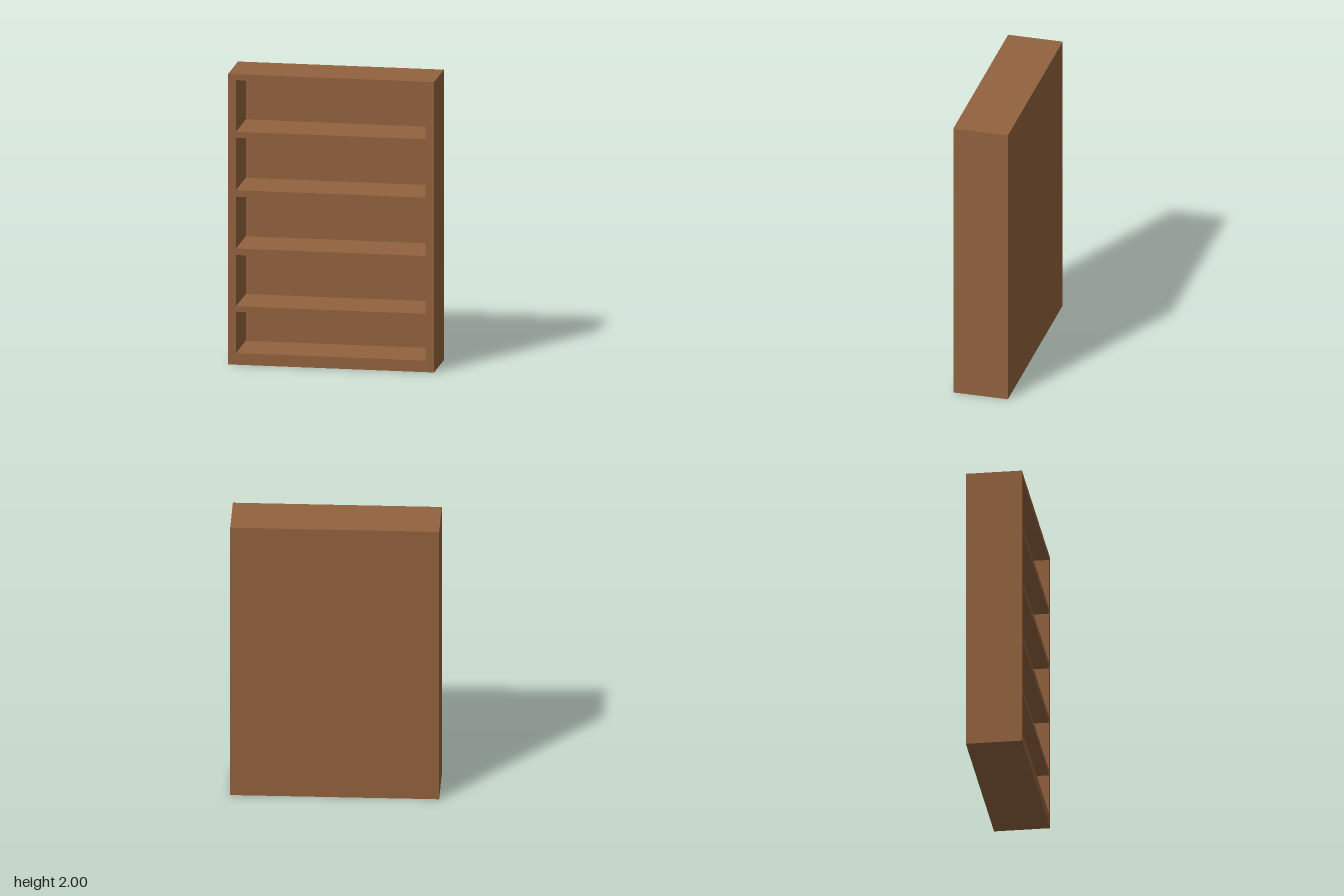
import * as THREE from 'three';

const WIDTH = 1.404, HEIGHT = 2, DEPTH = 0.38, BACK = 0.004;
const OPEN_LEFT = -0.648, OPEN_RIGHT = 0.644;
// bottom and top of each shelf bay
const BAYS = [[0.08, 0.365], [0.402, 0.755], [0.8, 1.157], [1.202, 1.562], [1.604, 1.96]];

// counter-clockwise rectangle, added to a shape or a hole path
function rect(path, x0, y0, x1, y1) {
  path.moveTo(x0, y0);
  path.lineTo(x1, y0);
  path.lineTo(x1, y1);
  path.lineTo(x0, y1);
  path.closePath();
  return path;
}

export function createModel() {
  const bookcase = new THREE.Group();
  bookcase.name = 'bookcase';
  const wood = new THREE.MeshStandardMaterial({ color: 0x92623e });

  // sides, top, plinth and shelves: one outline with a hole per bay
  const outline = rect(new THREE.Shape(), -WIDTH / 2, 0, WIDTH / 2, HEIGHT);
  for (const [low, high] of BAYS) {
    outline.holes.push(rect(new THREE.Path(), OPEN_LEFT, low, OPEN_RIGHT, high));
  }
  const frame = new THREE.Mesh(
    new THREE.ExtrudeGeometry(outline, { depth: DEPTH - BACK, bevelEnabled: false }), wood);
  frame.name = 'frameAndShelves';
  frame.position.z = -DEPTH / 2 + BACK;
  bookcase.add(frame);

  // thin panel closing the back
  const back = new THREE.Mesh(new THREE.BoxGeometry(WIDTH, HEIGHT, BACK), wood);
  back.name = 'backPanel';
  back.position.set(0, HEIGHT / 2, -DEPTH / 2 + BACK / 2);
  bookcase.add(back);

  return bookcase;
}
